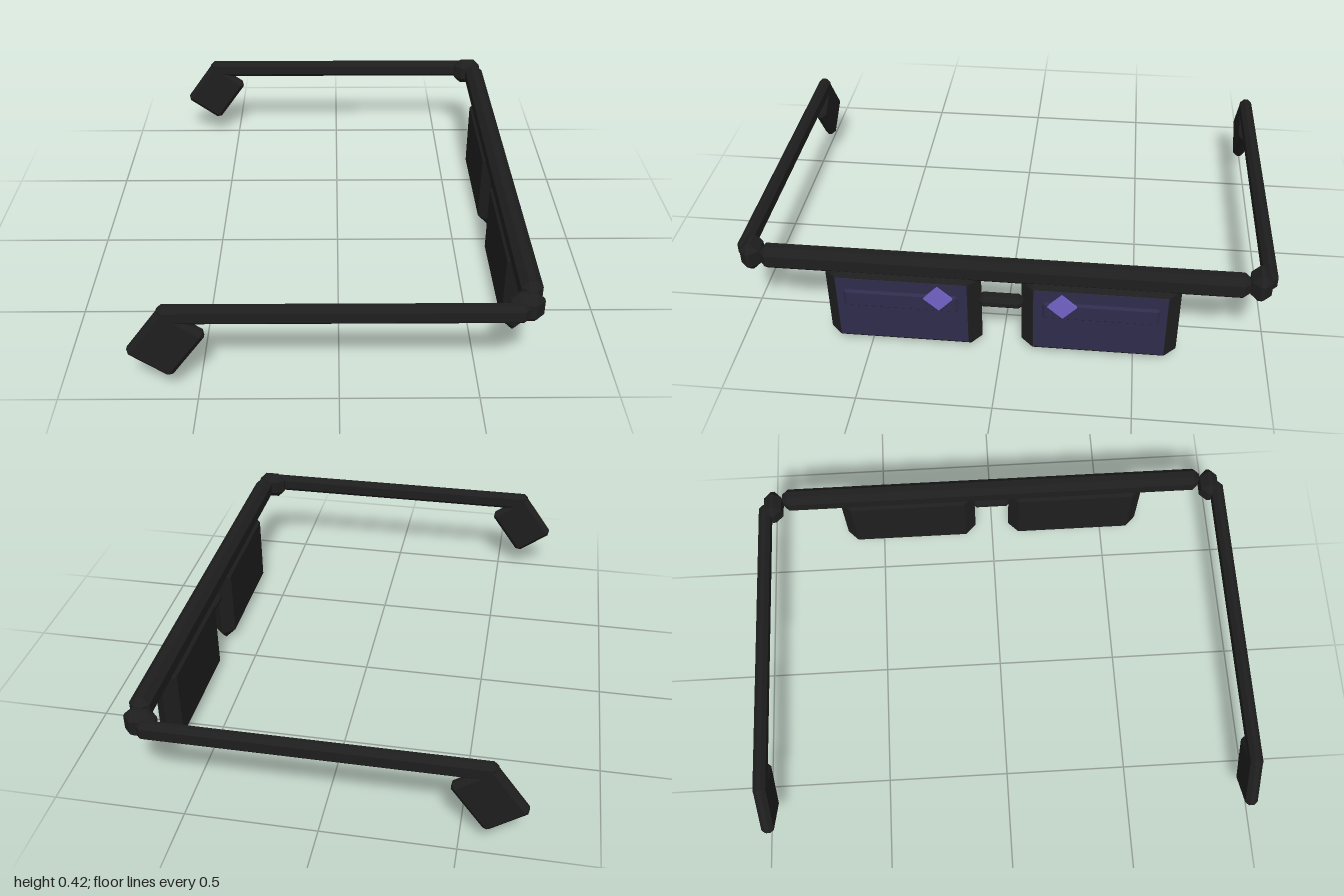
import * as THREE from 'three';
import { ConvexGeometry } from 'three/addons/geometries/ConvexGeometry.js';

// Box of full size w, h, d with every edge cut at 45 degrees by c
function chamferBox(w, h, d, c) {
  const x = w / 2, y = h / 2, z = d / 2, pts = [];
  for (const i of [-1, 1]) for (const j of [-1, 1]) for (const k of [-1, 1]) {
    pts.push(
      new THREE.Vector3(i * x, j * (y - c), k * (z - c)),
      new THREE.Vector3(i * (x - c), j * y, k * (z - c)),
      new THREE.Vector3(i * (x - c), j * (y - c), k * z));
  }
  return new ConvexGeometry(pts);
}

export function createModel() {
  const frameBlack = new THREE.MeshStandardMaterial({ name: 'frameBlack', color: 0x1e1e1e });
  const lensIndigo = new THREE.MeshStandardMaterial({ name: 'lensIndigo', color: 0x2e2b4b });
  const glintViolet = new THREE.MeshStandardMaterial({ name: 'glintViolet', color: 0x7263c6 });

  const model = new THREE.Group();
  model.name = 'glasses';
  const add = (name, geometry, material, x, y, z) => {
    const mesh = new THREE.Mesh(geometry, material);
    mesh.name = name;
    mesh.position.set(x, y, z);
    model.add(mesh);
    return mesh;
  };

  // Brow bar and nose bridge (the glasses look towards +x)
  add('browBar', chamferBox(0.078, 0.096, 1.8, 0.025), frameBlack, 0.668, 0.372, 0);
  add('bridge', chamferBox(0.06, 0.052, 0.17, 0.018), frameBlack, 0.688, 0.243, 0);

  for (const s of [1, -1]) {
    const side = s > 0 ? 'left' : 'right';

    // Lens: bevelled rim, flat pane, raised strip and diamond glint
    add(side + 'Rim', chamferBox(0.092, 0.37, 0.585, 0.0445), frameBlack, 0.67, 0.185, s * 0.3675);
    add(side + 'Lens', new THREE.BoxGeometry(0.008, 0.275, 0.49), lensIndigo, 0.715, 0.1875, s * 0.3675);
    add(side + 'LensStrip', chamferBox(0.024, 0.077, 0.43, 0.009), lensIndigo, 0.717, 0.237, s * 0.37);
    const glint = add(side + 'Glint', new THREE.BoxGeometry(0.009, 0.077, 0.077), glintViolet, 0.7295, 0.266, s * 0.229);
    glint.rotation.x = 0.83;

    // Hinge, arm and slanted ear tip
    add(side + 'Hinge', chamferBox(0.12, 0.116, 0.074, 0.03), frameBlack, 0.642, 0.363, s * 0.94);
    add(side + 'Arm', chamferBox(1.265, 0.074, 0.05, 0.017), frameBlack, 0.0125, 0.362, s * 0.975);
    const tip = add(side + 'EarTip', chamferBox(0.235, 0.19, 0.05, 0.017), frameBlack, -0.6, 0.242, s * 0.975);
    tip.rotation.z = 0.945;
  }
  return model;
}
